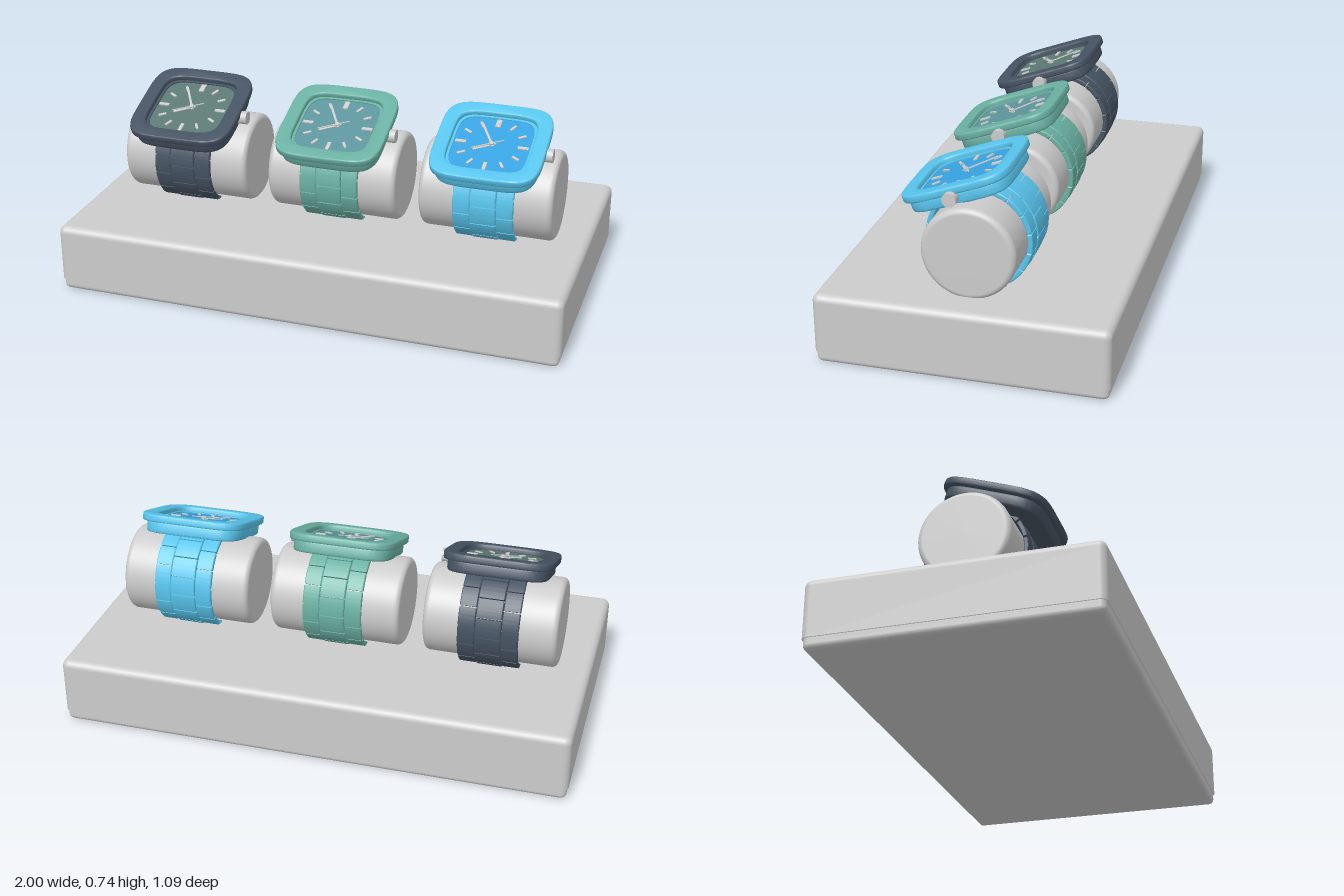
import * as THREE from 'three';
import { RoundedBoxGeometry } from 'three/addons/geometries/RoundedBoxGeometry.js';
import { toCreasedNormals } from 'three/addons/utils/BufferGeometryUtils.js';

const AXIS_Y = 0.437; // height of the cushion axis
const TILT = THREE.MathUtils.degToRad(20);

const material = (color) => new THREE.MeshStandardMaterial({ color });

function add(parent, name, geometry, mat, x = 0, y = 0, z = 0) {
  const mesh = new THREE.Mesh(geometry, mat);
  mesh.name = name;
  mesh.position.set(x, y, z);
  parent.add(mesh);
  return mesh;
}

// Soft square outline with slightly bowed sides
function softSquare(half, Type = THREE.Shape) {
  const points = [];
  for (let i = 0; i < 80; i++) {
    const a = (i / 80) * Math.PI * 2;
    const c = Math.cos(a), s = Math.sin(a);
    const r = half / Math.pow(Math.abs(c) ** 5 + Math.abs(s) ** 5, 1 / 5);
    points.push(new THREE.Vector2(c * r, s * r));
  }
  return new Type(points);
}

// Soft square plate standing on y = 0, optionally with an opening
function plate(half, height, bevel, opening = 0) {
  const shape = softSquare(half - bevel);
  if (opening) shape.holes.push(softSquare(opening + bevel, THREE.Path));
  const geometry = new THREE.ExtrudeGeometry(shape, {
    depth: height - 2 * bevel, bevelEnabled: bevel > 0,
    bevelSize: bevel, bevelThickness: bevel, bevelSegments: 3,
  });
  geometry.translate(0, 0, bevel).rotateX(-Math.PI / 2);
  return toCreasedNormals(geometry, 0.6);
}

// Curved bracelet link around the x axis, centred at the top of the ring
function linkGeometry(width, inner, outer, span) {
  const shape = new THREE.Shape();
  shape.absarc(0, 0, outer, Math.PI / 2 - span / 2, Math.PI / 2 + span / 2, false);
  shape.absarc(0, 0, inner, Math.PI / 2 + span / 2, Math.PI / 2 - span / 2, true);
  const geometry = new THREE.ExtrudeGeometry(shape, {
    depth: width - 0.006, curveSegments: 6, bevelEnabled: true,
    bevelSize: 0.003, bevelThickness: 0.003, bevelOffset: -0.003, bevelSegments: 1,
  });
  geometry.translate(0, 0, -(width - 0.006) / 2).rotateY(Math.PI / 2);
  return toCreasedNormals(geometry, 0.6);
}

function cushionGeometry() {
  const radius = 0.175, half = 0.26, edge = 0.022;
  const points = [new THREE.Vector2(0, -half)];
  for (const side of [-1, 1]) {
    for (let i = 0; i <= 6; i++) {
      const a = side * (side < 0 ? 1 - i / 6 : i / 6) * Math.PI / 2;
      points.push(new THREE.Vector2(radius - edge + edge * Math.cos(a), side * (half - edge) + edge * Math.sin(a)));
    }
  }
  points.push(new THREE.Vector2(0, half));
  return new THREE.LatheGeometry(points, 64).rotateZ(Math.PI / 2);
}

function createBracelet(mat) {
  const bracelet = new THREE.Group();
  bracelet.name = 'bracelet';
  const count = 16, step = (Math.PI * 2) / count;
  const sideLink = linkGeometry(0.066, 0.181, 0.199, step * 0.95);
  const middleLink = linkGeometry(0.1, 0.181, 0.202, step * 0.95);
  for (let i = 0; i < count; i++) {
    // leave the ring open inside the case
    if (i > 0) {
      for (const side of [-1, 1]) {
        add(bracelet, 'sideLink', sideLink, mat, side * 0.084).rotation.x = i * step;
      }
    }
    add(bracelet, 'middleLink', middleLink, mat).rotation.x = (i + 0.5) * step;
  }
  return bracelet;
}

function createHead(mat, dialMat, metal) {
  const head = new THREE.Group();
  head.name = 'watchHead';
  add(head, 'case', plate(0.197, 0.048, 0.008), mat, 0, 0.168);
  add(head, 'bezel', plate(0.2135, 0.03, 0.006, 0.158), mat, 0, 0.213);
  add(head, 'innerRim', plate(0.166, 0.009, 0, 0.148), mat, 0, 0.215);
  add(head, 'dial', plate(0.162, 0.006, 0), dialMat, 0, 0.214);

  // Hour markers
  for (let i = 0; i < 12; i++) {
    const main = i % 3 === 0;
    const width = i === 0 ? 0.02 : main ? 0.014 : 0.01;
    const pivot = new THREE.Group();
    pivot.name = 'hourMarker';
    pivot.rotation.y = -i * Math.PI / 6;
    add(pivot, 'markerBar', new THREE.BoxGeometry(width, 0.006, main ? 0.042 : 0.032), metal, 0, 0.222, -0.121);
    head.add(pivot);
  }

  // Hands: clockwise angle in degrees, length, tail, width, height
  const hands = [
    ['hourHand', -120, 0.075, 0.015, 0.011, 0.224],
    ['minuteHand', -29, 0.125, 0.015, 0.009, 0.227],
    ['secondHand', -118, 0.08, 0.05, 0.004, 0.23],
  ];
  for (const [name, angle, length, tail, width, y] of hands) {
    const geometry = new THREE.BoxGeometry(width, 0.003, length + tail).translate(0, 0, (tail - length) / 2);
    add(head, name, geometry, metal, 0, y).rotation.y = -THREE.MathUtils.degToRad(angle);
  }
  add(head, 'handPin', new THREE.CylinderGeometry(0.009, 0.009, 0.014, 20), metal, 0, 0.226);

  // Crown on the side of the case
  add(head, 'crown', new THREE.CylinderGeometry(0.026, 0.026, 0.045, 28).rotateZ(Math.PI / 2), metal, 0.2145, 0.204, 0.001);
  head.rotation.x = TILT;
  return head;
}

// Rounded block whose underside is cut flat at the given height
function cutBlock(width, top, depth, radius, cut) {
  const geometry = new RoundedBoxGeometry(width, top, depth, 5, radius).translate(0, top / 2, 0);
  const position = geometry.attributes.position;
  for (let i = 0; i < position.count; i++) position.setY(i, Math.max(position.getY(i), cut));
  return geometry;
}

export function createModel() {
  const model = new THREE.Group();
  model.name = 'watchDisplay';
  const grey = material(0xcccccc);

  // Display stand
  add(model, 'standBlock', cutBlock(2, 0.272, 1.09, 0.028, 0.045), grey);
  add(model, 'standPlinth', new RoundedBoxGeometry(1.988, 0.08, 1.078, 5, 0.022), grey, 0, 0.04);

  // Three watches on cushions
  const cushion = cushionGeometry();
  const colours = [[0x465363, 0x5a7872], [0x6ab0a2, 0x5c959c], [0x58c4ec, 0x36a2e0]];
  colours.forEach(([body, dial], i) => {
    const watch = new THREE.Group();
    watch.name = ['rightWatch', 'middleWatch', 'leftWatch'][i];
    watch.position.set((i - 1) * 0.614, AXIS_Y, 0);
    const bodyMat = material(body);
    add(watch, 'cushion', cushion, grey);
    watch.add(createBracelet(bodyMat), createHead(bodyMat, material(dial), grey));
    model.add(watch);
  });
  return model;
}
